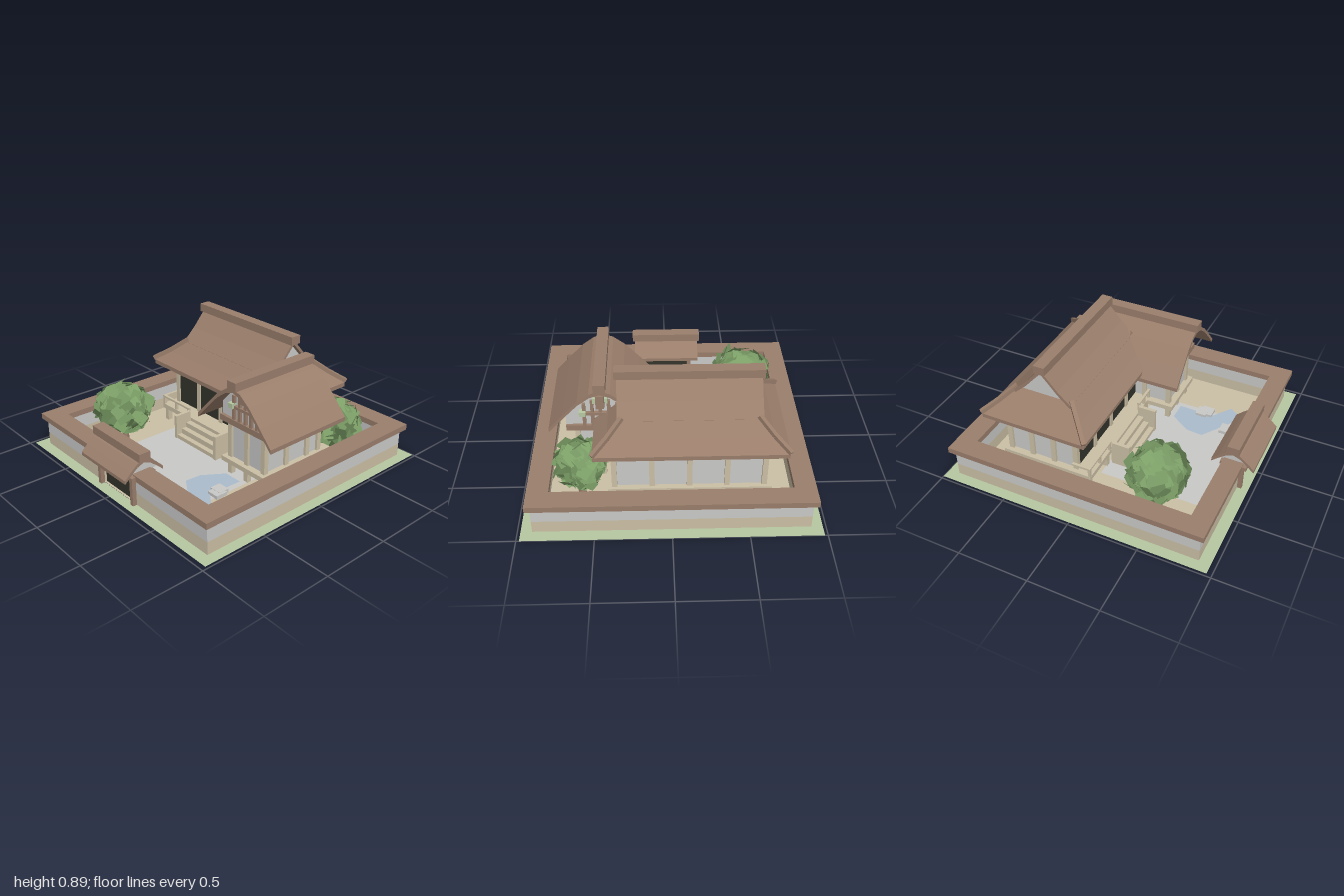
import * as THREE from 'three';

const mat = (name, color, extra = {}) => Object.assign(new THREE.MeshStandardMaterial({ color, ...extra }), { name });

export function createModel() {
  const root = new THREE.Group();
  root.name = 'courtyardHouse';
  const D = { side: THREE.DoubleSide };
  const roofM = mat('roofBrown', 0x9a7e6b, D), plaster = mat('plasterGrey', 0xc9c9c8, D);
  const tan = mat('paleTimber', 0xcbbfa5, D), dark = mat('darkDoor', 0x34342c);
  const leaf = mat('leafGreen', 0x7c9f67, D), grass = mat('grassGreen', 0xb6c8a1, D);
  const water = mat('waterBlue', 0xaabccb, D);

  const group = (name) => { const g = new THREE.Group(); g.name = name; root.add(g); return g; };
  const add = (g, name, geo, m) => {
    const o = new THREE.Mesh(geo, m);
    o.name = name;
    g.add(o);
    return o;
  };
  // box given by its limits on each axis
  const box = (g, name, m, x0, x1, y0, y1, z0, z1) => {
    const o = add(g, name, new THREE.BoxGeometry(x1 - x0, y1 - y0, z1 - z0), m);
    o.position.set((x0 + x1) / 2, (y0 + y1) / 2, (z0 + z1) / 2);
    return o;
  };
  const post = (g, x, z, y0, y1, m = tan, w = 0.036) =>
    box(g, 'post', m, x - w / 2, x + w / 2, y0, y1, z - w / 2, z + w / 2);
  // symmetric outline extruded along z, or along x when alongX
  const extrude = (g, name, m, pts, length, alongX, x, z) => {
    const geo = new THREE.ExtrudeGeometry(new THREE.Shape(pts.map(p => new THREE.Vector2(...p))), { depth: length, bevelEnabled: false });
    geo.translate(0, 0, -length / 2);
    if (alongX) geo.rotateY(Math.PI / 2);
    const o = add(g, name, geo, m);
    o.position.set(x, 0, z);
    return o;
  };
  // half profile runs from the ridge down to the eave
  const mirror = (half, drop = 0) => [
    ...half.map(([a, y]) => [-a, y - drop]).reverse(), ...half.slice(1).map(([a, y]) => [a, y - drop])];
  const gableRoof = (g, half, thick, ...rest) =>
    extrude(g, 'gableRoof', roofM, [...mirror(half), ...mirror(half, thick).reverse()], ...rest);
  const plane = (g, name, m, pts, y) => {
    const geo = new THREE.ShapeGeometry(new THREE.Shape(pts.map(([x, z]) => new THREE.Vector2(x, -z))));
    geo.rotateX(-Math.PI / 2);
    add(g, name, geo, m).position.y = y;
  };
  const rect = (x0, x1, z0, z1) => [[x0, z1], [x1, z1], [x1, z0], [x0, z0]];

  // Ground, courtyard paving and pond
  const ground = group('ground');
  const X = 0.905, ZB = -0.92, ZF = 0.885, T = 0.085;
  plane(ground, 'grassBack', grass, rect(-0.98, 0.98, -1, ZB), 0);
  plane(ground, 'grassFront', grass, rect(-0.98, 0.98, ZF, 0.965), 0);
  plane(ground, 'grassRight', grass, rect(-0.98, -X, ZB, ZF), 0);
  plane(ground, 'grassLeft', grass, rect(X, 0.98, ZB, ZF), 0);
  plane(ground, 'sand', tan, rect(-X, X, ZB, ZF), 0.002);
  plane(ground, 'paving', plaster, rect(-0.48, 0.48, -0.02, 0.705), 0.006);
  plane(ground, 'pond', water, [[0.19, 0.47], [0.5, 0.68], [0.575, 0.565], [0.43, 0.46], [0.44, 0.2], [0.3, 0.2], [0.2, 0.35]], 0.01);
  box(ground, 'steppingStone', plaster, 0.39, 0.48, 0, 0.03, 0.34, 0.42);
  box(ground, 'steppingStone', plaster, 0.41, 0.5, 0, 0.028, 0.37, 0.46);
  box(ground, 'steppingStone', plaster, 0.275, 0.365, 0, 0.03, 0.57, 0.655);

  // Boundary wall in two bands under a flat coping, open at the gate
  const wall = group('boundaryWall');
  const runs = [[-X, -X + T, ZB, ZF], [X - T, X, ZB, ZF], [-X + T, X - T, ZB, ZB + T],
    [-X + T, -0.18, ZF - T, ZF], [0.18, X - T, ZF - T, ZF]];
  for (const [x0, x1, z0, z1] of runs) {
    box(wall, 'wallBase', tan, x0, x1, 0, 0.09, z0, z1);
    box(wall, 'wallPlaster', plaster, x0, x1, 0.09, 0.205, z0, z1);
  }
  box(wall, 'coping', roofM, -0.934, -0.79, 0.205, 0.247, -0.955, 0.915);
  box(wall, 'coping', roofM, 0.79, 0.934, 0.205, 0.247, -0.955, 0.915);
  box(wall, 'coping', roofM, -0.79, 0.79, 0.205, 0.247, -0.955, -0.813);
  box(wall, 'coping', roofM, -0.79, 0.79, 0.205, 0.247, 0.776, 0.915);

  // Gate
  const gate = group('gate');
  box(gate, 'gateDoor', dark, -0.168, 0.166, 0.004, 0.19, 0.83, 0.87);
  box(gate, 'gateTransom', dark, -0.1, 0.1, 0.19, 0.212, 0.83, 0.86);
  for (const x of [-0.185, 0.185]) for (const z of [0.785, 0.9]) post(gate, x, z, 0, 0.24, roofM, 0.03);
  box(gate, 'gateBeam', roofM, -0.245, 0.245, 0.212, 0.238, 0.76, 0.945);
  const gateHalf = [[0, 0.35], [0.05, 0.33], [0.1, 0.29], [0.15, 0.245]];
  gateHalf[3][0] = 0.149;
  gableRoof(gate, gateHalf, 0.025, 0.5, true, 0, 0.85);
  for (const x of [-0.2, 0.2])
    extrude(gate, 'gateGable', plaster, mirror([[0, 0.335], [0.05, 0.315], [0.1, 0.275], [0.12, 0.235]]), 0.02, true, x, 0.85);
  box(gate, 'gateRidge', roofM, -0.265, 0.265, 0.34, 0.4, 0.808, 0.892);

  // Main hall body: raised floor, plaster bays and dark doors to the front
  const hall = group('mainHall');
  const hx0 = -0.62, hx1 = 0.375, hz0 = -0.64, hz1 = -0.13;
  box(hall, 'floor', tan, -0.67, 0.42, 0.1, 0.135, -0.68, 0);
  for (let x = -0.64; x < 0.43; x += 0.2575) for (const z of [-0.65, -0.34, -0.03]) post(hall, x, z, 0, 0.1);
  box(hall, 'hallWalls', plaster, hx0, hx1, 0.135, 0.46, hz0, hz1);
  for (let i = 0; i < 5; i++) {
    const x = hx0 + i * 0.24875;
    post(hall, x, hz0, 0.135, 0.46);
    post(hall, x, hz1, 0.135, 0.46);
    if (i < 4) box(hall, 'door', dark, x + 0.018, x + 0.231, 0.14, 0.44, hz1 - 0.002, hz1 + 0.007);
  }
  for (const x of [hx0, hx1]) for (const z of [-0.47, -0.3]) post(hall, x, z, 0.135, 0.46);

  // Veranda railing and front steps
  for (const [x0, x1] of [[-0.67, -0.355], [0.11, 0.3]]) {
    box(hall, 'handrail', tan, x0, x1, 0.19, 0.205, -0.02, 0);
    for (const x of [x0 + 0.01, (x0 + x1) / 2, x1 - 0.01]) post(hall, x, -0.01, 0.13, 0.195, tan, 0.018);
  }
  box(hall, 'handrail', tan, -0.67, -0.65, 0.19, 0.205, -0.14, 0);
  for (let i = 0; i < 3; i++)
    box(hall, 'step', tan, -0.33, 0.085, 0, 0.11 - i * 0.037, i * 0.045, 0.045 + i * 0.042);
  for (const x of [-0.355, 0.085]) box(hall, 'stepSide', tan, x, x + 0.025, 0, 0.19, 0, 0.135);

  // Hall roof: curved hipped skirt below a gabled top
  const cx = -0.125, cz = -0.38;
  const rings = [[0.63, 0.39, 0.487], [0.535, 0.3, 0.557], [0.44, 0.205, 0.645]];
  const pos = [];
  const sgn = [[-1, 1], [1, 1], [1, -1], [-1, -1]];
  const at = (r, k) => [cx + sgn[k % 4][0] * r[0], r[2], cz + sgn[k % 4][1] * r[1]];
  for (let i = 0; i < 2; i++) for (let k = 0; k < 4; k++) {
    const a = at(rings[i], k), b = at(rings[i], k + 1), c = at(rings[i + 1], k + 1), d = at(rings[i + 1], k);
    pos.push(...a, ...b, ...c, ...a, ...c, ...d);
  }
  const skirt = new THREE.BufferGeometry();
  skirt.setAttribute('position', new THREE.Float32BufferAttribute(pos, 3));
  skirt.computeVertexNormals();
  add(hall, 'roofSkirt', skirt, roofM);
  box(hall, 'eaveBand', roofM, cx - 0.625, cx + 0.625, 0.452, 0.487, cz - 0.385, cz + 0.385);
  const topHalf = [[0, 0.86], [0.05, 0.805], [0.12, 0.725], [0.215, 0.637]];
  gableRoof(hall, topHalf, 0.03, 0.94, true, cx, cz);
  for (const s of [-1, 1])
    extrude(hall, 'hallGable', plaster, mirror([[0, 0.835], [0.05, 0.78], [0.12, 0.7], [0.2, 0.625]]), 0.02, true, cx + s * 0.42, cz);
  box(hall, 'hallRidge', roofM, -0.61, 0.362, 0.835, 0.895, cz - 0.04, cz + 0.04);
  for (const [sx, sz] of sgn) for (let i = 0; i < 2; i++) {
    const [p, q] = [rings[i], rings[i + 1]].map(r => new THREE.Vector3(cx + sx * r[0], r[2] + 0.012, cz + sz * r[1]));
    const bar = add(hall, 'hipRidge', new THREE.BoxGeometry(0.028, 0.028, p.distanceTo(q)), roofM);
    bar.position.copy(p).add(q).multiplyScalar(0.5);
    bar.lookAt(q);
  }

  // Side wing on stilts with latticed gables
  const wing = group('sideWing');
  const wx = 0.46;
  box(wing, 'wingFloor', tan, 0.25, 0.67, 0.1, 0.135, -0.38, 0.2);
  box(wing, 'wingWalls', plaster, 0.3, 0.62, 0.135, 0.41, -0.36, 0.15);
  for (const z of [0.15, -0.045, -0.245, -0.36]) for (const x of [0.3, wx, 0.62]) {
    if (x !== wx || z === 0.15 || z === -0.36) post(wing, x, z, 0.135, 0.41);
    post(wing, x, z, 0, 0.1);
  }
  box(wing, 'wingBeam', roofM, 0.225, 0.695, 0.4, 0.443, -0.385, 0.19);
  const wingHalf = [[0, 0.74], [0.07, 0.715], [0.15, 0.655], [0.25, 0.55], [0.35, 0.44]];
  gableRoof(wing, wingHalf, 0.03, 0.7, false, wx, -0.06);
  extrude(wing, 'wingGable', plaster, mirror([[0, 0.72], [0.07, 0.695], [0.15, 0.635], [0.235, 0.54], [0.235, 0.44]]), 0.53, false, wx, -0.1);
  box(wing, 'wingRidge', roofM, 0.42, 0.5, 0.73, 0.79, -0.42, 0.305);
  for (const [z, s] of [[0.165, 1], [-0.365, -1]]) {
    const slab = (n, m, x0, x1, y0, y1, d) => box(wing, n, m, wx + x0, wx + x1, y0, y1, Math.min(z, z + s * d), Math.max(z, z + s * d));
    for (const x of [-0.11, -0.055, 0, 0.055, 0.11]) slab('latticeBar', roofM, x - 0.011, x + 0.011, 0.443, 0.67 - Math.abs(x) * 0.45, 0.02);
    slab('latticeRail', roofM, -0.14, 0.14, 0.53, 0.55, 0.025);
    slab('gablePendant', roofM, -0.028, 0.028, 0.6, 0.7, 0.05);
    for (const x of [-0.12, 0.12]) slab('gableOrnament', grass, x - 0.022, x + 0.022, 0.53, 0.565, 0.04);
    for (const x of [-0.04, 0.04]) slab('gableOrnament', grass, x - 0.01, x + 0.01, 0.63, 0.67, 0.03);
  }

  // Shrubs: a low-poly core covered in leaf cards
  let seed = 7;
  const rnd = () => (seed = (seed * 16807) % 2147483647) / 2147483647;
  const shrub = (x, y, z, rx, ry, rz, n) => {
    const g = group('shrub');
    g.position.set(x, y, z);
    const trunk = add(g, 'trunk', new THREE.CylinderGeometry(0.02, 0.03, y, 6), roofM);
    trunk.position.y = -y / 2;
    const core = add(g, 'foliageCore', new THREE.IcosahedronGeometry(1, 1), leaf);
    core.scale.set(rx * 0.84, ry * 0.84, rz * 0.84);
    for (let i = 0; i < n; i++) {
      const h = 1 - 2 * (i + 0.5) / n, a = i * 2.39996, r = Math.sqrt(1 - h * h);
      const card = add(g, 'leafCard', new THREE.PlaneGeometry(0.07 + rnd() * 0.05, 0.06 + rnd() * 0.04), leaf);
      const k = 0.8 + rnd() * 0.14;
      card.position.set(Math.cos(a) * r * rx * k, h * ry * k, Math.sin(a) * r * rz * k);
      card.lookAt(card.position.clone().multiplyScalar(2).add(g.position));
      card.rotateX((rnd() - 0.5) * 1.2);
      card.rotateY((rnd() - 0.5) * 1.2);
      card.rotateZ(rnd() * 3);
    }
  };
  shrub(-0.56, 0.28, 0.44, 0.225, 0.19, 0.215, 110);
  shrub(0.6, 0.27, -0.57, 0.175, 0.175, 0.175, 90);
  return root;
}
